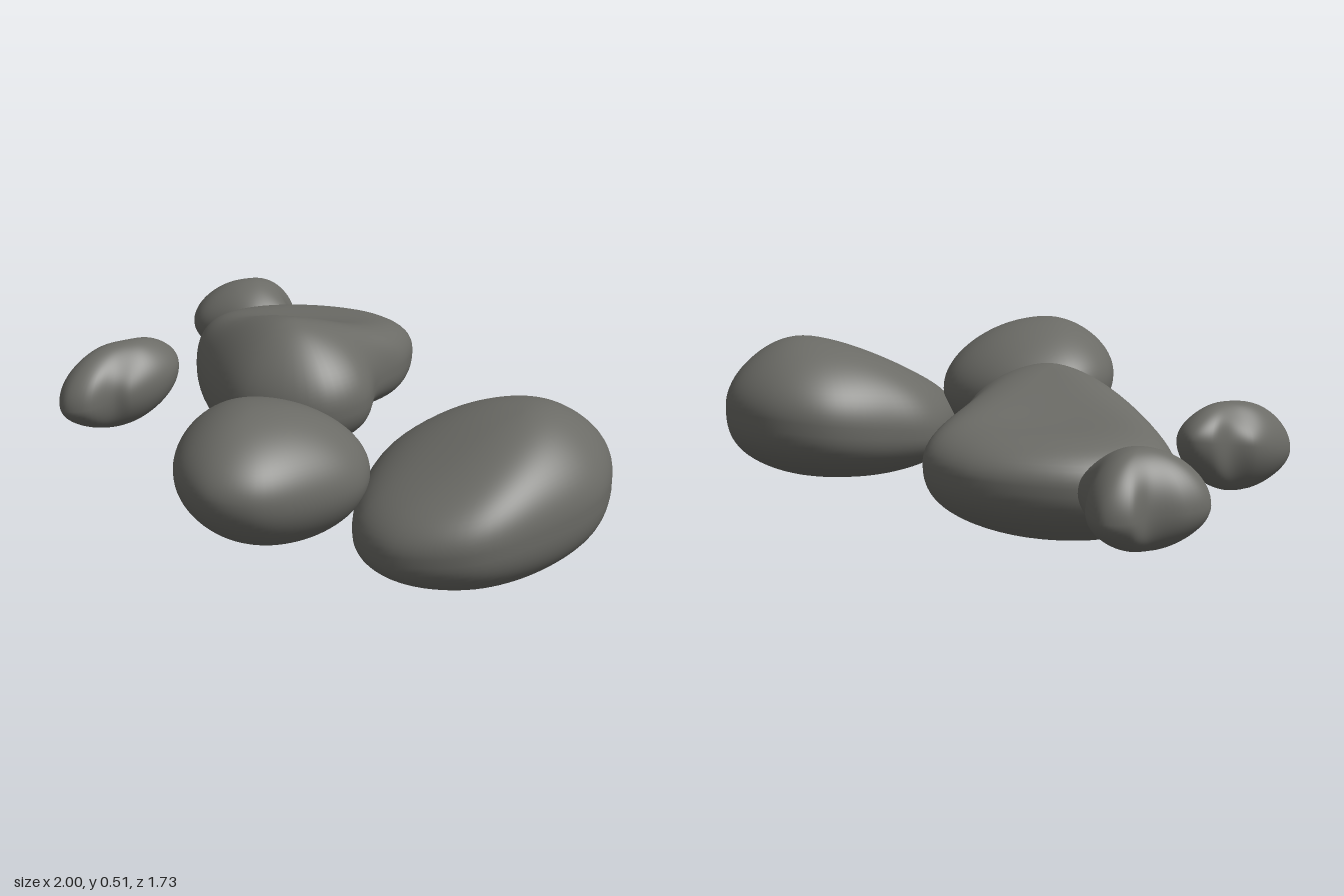
import * as THREE from 'three';
import { mergeVertices } from 'three/addons/utils/BufferGeometryUtils.js';

const stone = new THREE.MeshStandardMaterial({ color: 0x6b6b66, side: THREE.DoubleSide });
stone.name = 'grey stone';

const AROUND = 72, RINGS = 48, BLUR = 8;

// A boulder is lofted from its peak, out to a waist loop seen from above [x, z], and in to its base.
// The waist lies on a plane through `level` below the peak, sloping by `tilt` along x and z.
// dents and hollows: [x, z, width, depth] pressed into the top and the underside.
// open: height of the resting patch left off.
function boulder(name, { outline, level, tilt, peak, base, fullness = 1, dents = [], hollows = [], open = 0 }) {
  const top = new THREE.Vector3(...peak), bottom = new THREE.Vector3(...base);
  const loop = new THREE.CatmullRomCurve3(outline.map(([x, z]) =>
    new THREE.Vector3(x, level + tilt[0] * (x - top.x) + tilt[1] * (z - top.z), z)), true);
  const rim = Array.from({ length: AROUND }, (_, j) => loop.getPoint(j / AROUND));
  // a blurred loop rounds off the lobes towards the poles
  const soft = rim.map((_, j) => {
    const mean = new THREE.Vector3();
    for (let k = -BLUR; k <= BLUR; k++) mean.add(rim[(j + k + AROUND) % AROUND]);
    return mean.divideScalar(2 * BLUR + 1);
  });
  const pos = [], index = [];

  for (let i = 0; i <= RINGS; i++) {
    const angle = Math.PI * i / RINGS;
    const upper = i <= RINGS / 2;
    const pole = upper ? top : bottom;
    const out = Math.sin(angle), up = Math.abs(Math.cos(angle));
    for (let j = 0; j < AROUND; j++) {
      const w = soft[j].clone().lerp(rim[j], out ** 3);
      const x = THREE.MathUtils.lerp(pole.x, w.x, out);
      const z = THREE.MathUtils.lerp(pole.z, w.z, out);
      let y = THREE.MathUtils.lerp(w.y, pole.y, upper ? up : up ** fullness);
      for (const [dx, dz, width, depth] of upper ? dents : hollows) {
        const press = depth * up * Math.exp(-((x - dx) ** 2 + (z - dz) ** 2) / width ** 2);
        y += upper ? -press : press;
      }
      pos.push(x, y, z);
    }
  }

  for (let i = 0; i < RINGS; i++) {
    for (let j = 0; j < AROUND; j++) {
      const a = i * AROUND + j, b = i * AROUND + (j + 1) % AROUND;
      const c = b + AROUND, d = a + AROUND;
      if (pos[d * 3 + 1] < bottom.y + open) continue;
      if (i > 0) index.push(a, b, c);
      if (i < RINGS - 1) index.push(a, c, d);
    }
  }

  const loft = new THREE.BufferGeometry();
  loft.setAttribute('position', new THREE.Float32BufferAttribute(pos, 3));
  loft.setIndex(index);
  const geometry = mergeVertices(loft, 1e-5);
  geometry.computeVertexNormals();
  const mesh = new THREE.Mesh(geometry, stone);
  mesh.name = name;
  return mesh;
}

export function createModel() {
  const group = new THREE.Group();
  group.name = 'boulders';

  // broad boulder with a sloping front
  group.add(boulder('largeLeftBoulder', {
    outline: [[0.29, 0.13], [0.36, -0.06], [0.5, -0.23], [0.68, -0.287], [0.87, -0.23],
      [0.995, 0], [0.96, 0.25], [0.84, 0.48], [0.62, 0.575], [0.45, 0.5]],
    level: 0.23, tilt: [0.07, -0.09],
    peak: [0.74, 0.5, 0.06], base: [0.71, 0.003, 0.21],
    fullness: 0.7, open: 0.008, dents: [[0.6, 0.45, 0.34, 0.1]],
  }));

  // raised egg-shaped boulder
  group.add(boulder('frontBoulder', {
    outline: [[-0.13, 0.47], [-0.07, 0.32], [0.15, 0.23], [0.34, 0.275], [0.435, 0.43],
      [0.41, 0.62], [0.32, 0.8], [0.19, 0.86], [0.05, 0.81], [-0.08, 0.65]],
    level: 0.32, tilt: [-0.05, 0.07],
    peak: [0.14, 0.52, 0.57], base: [0.2, 0.1, 0.47],
  }));

  // two-lobed boulder with a lower shoulder behind
  group.add(boulder('largeRightBoulder', {
    outline: [[-0.81, -0.42], [-0.76, -0.58], [-0.6, -0.71], [-0.34, -0.775], [-0.16, -0.71], [-0.08, -0.56],
      [-0.07, -0.39], [0.015, -0.19], [-0.05, -0.03], [-0.28, 0.06], [-0.47, -0.01], [-0.7, -0.22]],
    level: 0.24, tilt: [0.05, -0.02],
    peak: [-0.28, 0.51, -0.18], base: [-0.41, 0.01, -0.3],
    fullness: 0.8, open: 0.01,
    dents: [[-0.56, -0.42, 0.26, 0.08], [-0.28, -0.52, 0.26, 0.08]],
    hollows: [[-0.1, -0.4, 0.16, 0.08]],
  }));

  // three-lobed small stone
  group.add(boulder('smallBackStone', {
    outline: [[-1, -0.6], [-0.97, -0.68], [-0.89, -0.76], [-0.87, -0.83], [-0.8, -0.865], [-0.73, -0.82],
      [-0.7, -0.75], [-0.63, -0.67], [-0.7, -0.55], [-0.81, -0.515], [-0.93, -0.515]],
    level: 0.21, tilt: [0.08, 0.13],
    peak: [-0.82, 0.37, -0.68], base: [-0.83, 0.08, -0.67], open: 0.004,
    dents: [[-0.92, -0.76, 0.08, 0.03]],
  }));

  // long small stone, pinched on both sides
  group.add(boulder('smallSideStone', {
    outline: [[-0.89, 0.19], [-0.86, 0.05], [-0.8, -0.01], [-0.77, -0.08], [-0.71, -0.11], [-0.64, -0.05],
      [-0.625, 0.05], [-0.66, 0.17], [-0.7, 0.21], [-0.74, 0.3], [-0.81, 0.33], [-0.87, 0.28]],
    level: 0.25, tilt: [0, -0.18],
    peak: [-0.76, 0.385, 0.06], base: [-0.76, 0.1, 0.13], open: 0.005,
    dents: [[-0.84, 0.02, 0.07, 0.04], [-0.68, 0.19, 0.07, 0.03]],
  }));

  return group;
}
